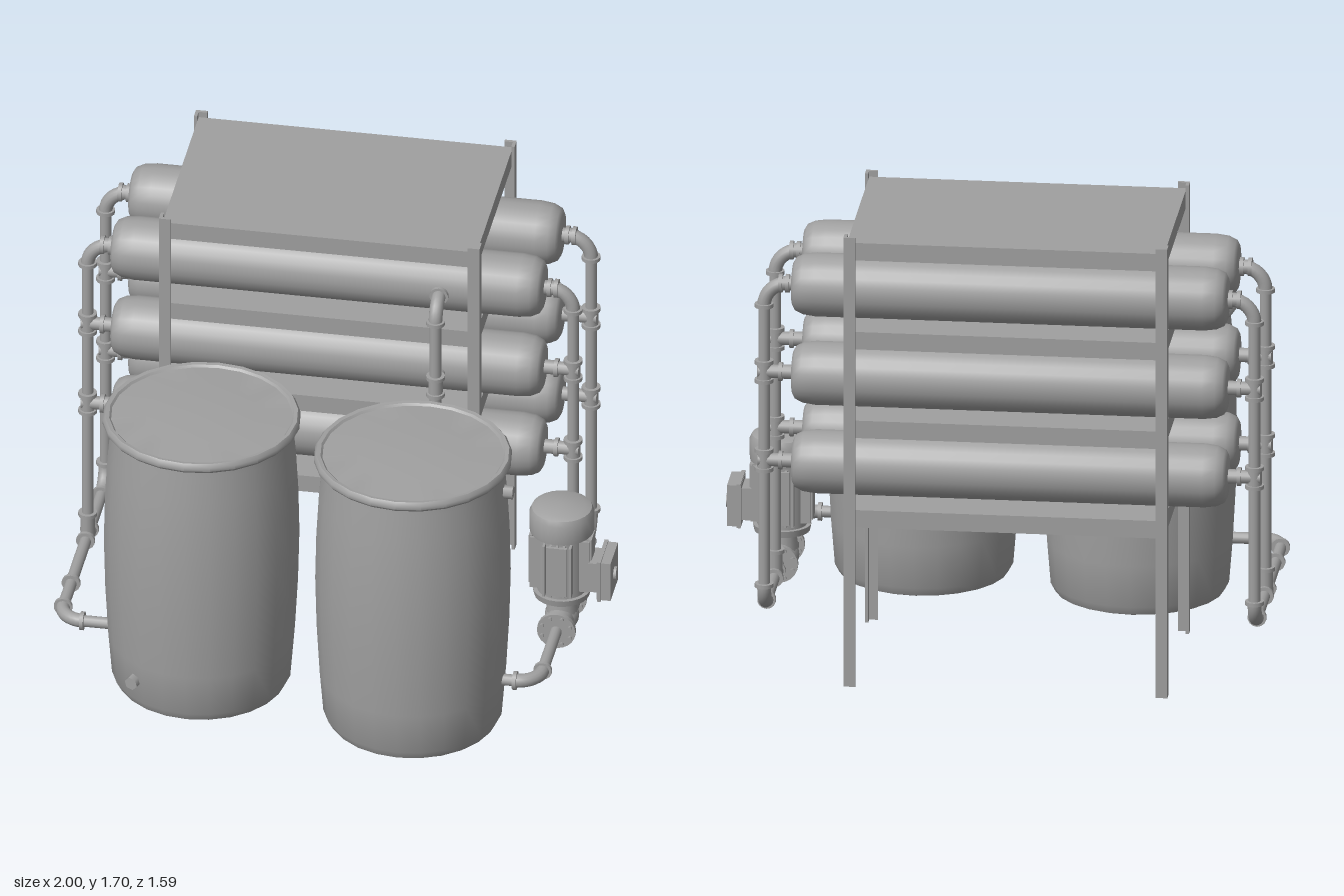
import * as THREE from 'three';
import { toCreasedNormals } from 'three/addons/utils/BufferGeometryUtils.js';

const metal = new THREE.MeshStandardMaterial({ color: 0xa0a0a0 });
metal.name = 'plain grey';
const V = (x, y, z) => new THREE.Vector3(x, y, z);
const UP = V(0, 1, 0);
const PIPE = 0.021;

function add(parent, name, geometry, x = 0, y = 0, z = 0) {
  const mesh = new THREE.Mesh(geometry, metal);
  mesh.name = name;
  mesh.position.set(x, y, z);
  parent.add(mesh);
  return mesh;
}

function group(parent, name, x = 0, y = 0, z = 0) {
  const g = new THREE.Group();
  g.name = name;
  g.position.set(x, y, z);
  parent.add(g);
  return g;
}

const box = (parent, name, w, h, d, x, y, z) =>
  add(parent, name, new THREE.BoxGeometry(w, h, d), x, y, z);

function lathe(points, sides) {
  const profile = points.map(([r, y]) => new THREE.Vector2(r, y));
  return toCreasedNormals(new THREE.LatheGeometry(profile, sides), 0.7);
}

// Cylinder between two points
function rod(parent, name, a, b, r, sides = 14) {
  const dir = b.clone().sub(a);
  const mid = a.clone().add(b).multiplyScalar(0.5);
  const mesh = add(parent, name, new THREE.CylinderGeometry(r, r, dir.length(), sides), mid.x, mid.y, mid.z);
  mesh.quaternion.setFromUnitVectors(UP, dir.normalize());
  return mesh;
}

// Thin ring clamped around a pipe at a point
function collar(parent, p, dir, r = 0.034, t = 0.014) {
  const half = dir.clone().normalize().multiplyScalar(t / 2);
  rod(parent, 'collar', p.clone().sub(half), p.clone().add(half), r);
}

// Pipe run with rounded elbows and a collar at each elbow end
function pipe(parent, name, points, bend = 0.085) {
  const g = group(parent, name);
  let start = points[0];
  for (let i = 1; i < points.length; i++) {
    const p = points[i];
    const dir = p.clone().sub(points[i - 1]).normalize();
    if (i === points.length - 1) {
      rod(g, 'straightPipe', start, p, PIPE);
      break;
    }
    const out = points[i + 1].clone().sub(p).normalize();
    const a = p.clone().addScaledVector(dir, -bend);
    const b = p.clone().addScaledVector(out, bend);
    const k = bend * 0.45;
    const curve = new THREE.CubicBezierCurve3(a, p.clone().addScaledVector(dir, -k), p.clone().addScaledVector(out, -0).addScaledVector(out, k), b);
    rod(g, 'straightPipe', start, a, PIPE);
    add(g, 'elbow', new THREE.TubeGeometry(curve, 8, 0.025, 14));
    collar(g, a, dir);
    collar(g, b, out);
    start = b;
  }
  return g;
}

// Thicker sleeve with a collar at both ends
function sleeve(parent, p, dir, half = 0.035) {
  const a = p.clone().addScaledVector(dir, -half);
  const b = p.clone().addScaledVector(dir, half);
  rod(parent, 'teeSleeve', a, b, 0.026);
  collar(parent, a, dir);
  collar(parent, b, dir);
}

function barrel(parent, name, x, z) {
  const g = group(parent, name, x, 0, z);
  add(g, 'barrelBody', lathe([[0, 0.015], [0.27, 0.015], [0.305, 0.028], [0.322, 0.06], [0.335, 0.22],
    [0.346, 0.42], [0.351, 0.62], [0.347, 0.8], [0.338, 0.96], [0.328, 1.06], [0.325, 1.1]], 24));
  add(g, 'barrelRim', lathe([[0.322, 1.095], [0.347, 1.095], [0.355, 1.105], [0.355, 1.12], [0.346, 1.132],
    [0.332, 1.13], [0.325, 1.122], [0.2, 1.13], [0, 1.138]], 24));
  return g;
}

// Short hexagonal plug on a barrel wall
function bung(parent, a, b) {
  rod(parent, 'bung', a, b, 0.025, 6);
}

function makePump(parent, x, z) {
  const g = group(parent, 'pump', x, 0, z);
  add(g, 'motorCap', lathe([[0, 0.58], [0.115, 0.58], [0.117, 0.595], [0.117, 0.655], [0.108, 0.675], [0.085, 0.685], [0, 0.69]], 24));
  add(g, 'motorBody', new THREE.CylinderGeometry(0.09, 0.09, 0.26, 24), 0, 0.46, 0);
  add(g, 'motorBaseRing', new THREE.CylinderGeometry(0.105, 0.1, 0.025, 24), 0, 0.325, 0);
  add(g, 'pumpNeck', new THREE.CylinderGeometry(0.05, 0.06, 0.12, 18), 0, 0.265, 0);
  // Cooling fins in four banks
  for (let i = 0; i < 4; i++) {
    const bank = group(g, 'finBank');
    bank.rotation.y = i * Math.PI / 2;
    for (let j = -2; j <= 2; j++) box(bank, 'fin', 0.04, 0.21, 0.009, 0.088, 0.46, j * 0.024);
    box(bank, 'sidePlate', 0.012, 0.2, 0.075, 0.108, 0.465, 0);
  }
  // Terminal box
  box(g, 'terminalNeck', 0.04, 0.12, 0.11, 0.125, 0.42, 0);
  box(g, 'terminalBox', 0.05, 0.155, 0.15, 0.165, 0.42, 0);
  box(g, 'terminalLid', 0.014, 0.165, 0.16, 0.148, 0.42, 0);
  rod(g, 'terminalKnob', V(0.185, 0.415, 0), V(0.2, 0.415, 0), 0.025);
  // Horizontal casing with bolted flanges
  rod(g, 'pumpCasing', V(0, 0.22, -0.11), V(0, 0.22, 0.11), 0.05, 18);
  add(g, 'pumpBowl', new THREE.SphereGeometry(0.062, 18, 12), 0, 0.22, 0);
  for (const s of [-1, 1]) {
    rod(g, 'flange', V(0, 0.22, s * 0.1), V(0, 0.22, s * 0.118), 0.07, 20);
    for (let i = 0; i < 8; i++) {
      const a = (i + 0.5) * Math.PI / 4;
      const bx = 0.055 * Math.cos(a), by = 0.22 + 0.055 * Math.sin(a);
      rod(g, 'flangeBolt', V(bx, by, s * 0.09), V(bx, by, s * 0.128), 0.008, 6);
    }
  }
}

export function createModel() {
  const model = new THREE.Group();
  model.name = 'filtrationSkid';
  const X = V(1, 0, 0), Z = V(0, 0, 1);
  const levels = [1.45, 1.115, 0.78];
  const rows = [-0.24, -0.6];

  // Rack: four angle posts and four shelves
  const rack = group(model, 'rack');
  const w = 0.043, t = 0.012;
  for (const sx of [-1, 1]) for (const sz of [-1, 1]) {
    const cx = -0.09 + sx * 0.583, cz = -0.4275 + sz * 0.3725;
    box(rack, 'postSide', t, 1.7, w, cx - sx * t / 2, 0.85, cz - sz * w / 2);
    box(rack, 'postFace', w, 1.7, t, cx - sx * w / 2, 0.85, cz - sz * t / 2);
  }
  for (const y of [1.645, 1.308, 0.972, 0.633])
    box(rack, 'shelf', 1.142, 0.066, 0.721, -0.09, y, -0.4275);

  // Horizontal pressure vessels with end stubs
  const half = [[0.115, 0.0], [0.115, 0.7], [0.109, 0.745], [0.096, 0.772], [0.078, 0.782], [0.0, 0.785]];
  const profile = [...half.slice(1).reverse().map(([r, y]) => [r, -y]), ...half];
  for (const z of rows) for (const y of levels) {
    const vessel = add(model, 'vessel', lathe(profile, 24), -0.087, y, z);
    vessel.rotation.z = -Math.PI / 2;
    for (const [from, to] of [[0.68, 0.74], [-0.85, -0.91]]) {
      rod(model, 'vesselStub', V(from, y, z), V(to, y, z), 0.026);
      collar(model, V(to, y, z), X);
    }
  }

  // Risers and floor manifolds on both ends
  for (const [x, inner] of [[0.8, 0.68], [-0.965, -0.85]]) {
    const piping = group(model, x > 0 ? 'feedPiping' : 'outletPiping');
    const endZ = x > 0 ? 0.455 : 0.335;
    const barrelX = x > 0 ? 0.66 : -0.77;
    pipe(piping, 'mainRun', [V(inner, 1.45, -0.6), V(x, 1.45, -0.6), V(x, 0.22, -0.6),
      V(x, 0.22, endZ), V(barrelX, 0.22, endZ)]);
    pipe(piping, 'frontRiser', [V(inner, 1.45, -0.24), V(x, 1.45, -0.24), V(x, 0.22, -0.24)]);
    for (const z of rows) for (const y of levels.slice(1)) {
      rod(piping, 'branch', V(inner, y, z), V(x + Math.sign(x) * 0.022, y, z), 0.024);
      sleeve(piping, V(x, y, z), UP);
    }
    sleeve(piping, V(x, 0.22, -0.24), Z, 0.04);
    rod(piping, 'teeNeck', V(x, 0.22, -0.24), V(x, 0.31, -0.24), 0.026);
    collar(piping, V(x, 0.31, -0.24), UP);
    if (x < 0) collar(piping, V(x, 0.22, 0.09), Z);
  }

  // Front header tapping the vessels, with cross links to the back row
  const header = group(model, 'frontHeader');
  pipe(header, 'headerRun', [V(0.335, 1.45, -0.16), V(0.335, 1.45, -0.045), V(0.335, 0.78, -0.045), V(0.335, 0.78, -0.16)], 0.07);
  rod(header, 'headerBranch', V(0.335, 1.115, -0.16), V(0.335, 1.115, -0.045), PIPE);
  sleeve(header, V(0.335, 1.115, -0.045), UP);
  for (const y of levels) {
    rod(header, 'crossLink', V(0.335, y, -0.34), V(0.335, y, -0.5), PIPE);
    for (const z of [-0.365, -0.475]) collar(header, V(0.335, y, z), Z, 0.028);
  }

  // Storage barrels
  const left = barrel(model, 'feedBarrel', 0.34, 0.435);
  bung(left, V(0.32, 1.0, 0), V(0.365, 1.0, 0));
  const right = barrel(model, 'outletBarrel', -0.45, 0.315);
  bung(right, V(-0.19, 0.145, 0.24), V(-0.205, 0.145, 0.29));

  makePump(model, 0.8, -0.015);
  return model;
}
